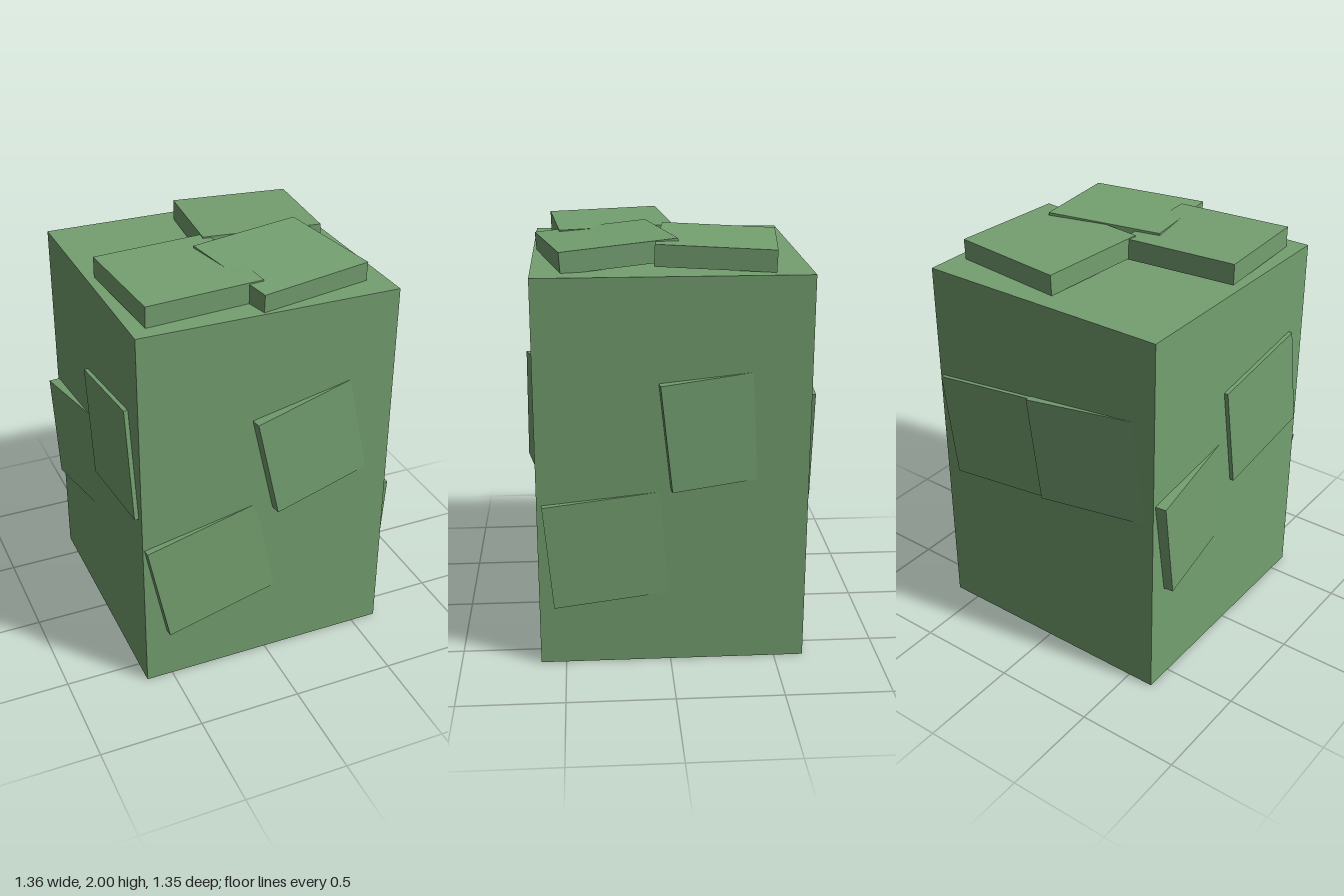
import * as THREE from 'three';

const green = new THREE.MeshStandardMaterial({ color: 0x74a070 });
green.name = 'leafGreen';

// Tilted slab set by three corners of its outer face, seen from outside:
// top left, top right and bottom left
function slab(name, topLeft, topRight, bottomLeft, thickness = 0.1) {
  const a = new THREE.Vector3(...topLeft);
  const right = new THREE.Vector3(...topRight).sub(a);
  const up = a.clone().sub(new THREE.Vector3(...bottomLeft));
  const out = right.clone().cross(up).normalize();
  const centre = a.clone().addScaledVector(right, 0.5).addScaledVector(up, -0.5)
    .addScaledVector(out, -thickness / 2);
  const geometry = new THREE.BoxGeometry(1, 1, 1);
  geometry.applyMatrix4(new THREE.Matrix4()
    .makeBasis(right, up, out.multiplyScalar(thickness)).setPosition(centre));
  const mesh = new THREE.Mesh(geometry, green);
  mesh.name = name;
  return mesh;
}

export function createModel() {
  const group = new THREE.Group();
  group.name = 'hedgeBlock';

  // Main block
  const body = new THREE.Mesh(new THREE.BoxGeometry(1.26, 1.87, 1.26), green);
  body.name = 'body';
  body.position.set(0, 0.935, -0.01);
  group.add(body);

  const leaves = [
    // Top
    ['topBackLeaf', [0.0, 1.97, -0.545], [0.575, 1.97, -0.475], [-0.065, 1.99, -0.005]],
    ['topRightLeaf', [-0.6, 1.985, 0.0], [-0.03, 1.985, -0.053], [-0.555, 1.97, 0.545]],
    ['topFrontLeaf', [-0.145, 1.992, 0.075], [0.42, 2.0, -0.045], [-0.033, 1.955, 0.61]],
    // Front
    ['frontUpperLeaf', [-0.08, 1.35, 0.672], [0.48, 1.47, 0.612], [0.03, 0.85, 0.672]],
    ['frontLowerLeaf', [-0.62, 0.78, 0.655], [-0.06, 0.89, 0.619], [-0.52, 0.275, 0.66]],
    // Left side (+x)
    ['leftUpperLeaf', [0.678, 1.385, 0.05], [0.613, 1.445, -0.52], [0.675, 0.875, -0.005]],
    ['leftLowerLeaf', [0.663, 0.81, 0.595], [0.628, 0.867, 0.02], [0.663, 0.3, 0.55]],
    // Back
    ['backRightLeaf', [0.06, 1.385, -0.677], [-0.51, 1.455, -0.64], [-0.01, 0.87, -0.677]],
    ['backLeftLeaf', [0.61, 1.315, -0.66], [0.04, 1.385, -0.66], [0.54, 0.8, -0.66]],
    // Right side (-x)
    ['rightUpperLeaf', [-0.65, 1.38, -0.085], [-0.65, 1.46, 0.49], [-0.65, 0.855, 0.005]],
    ['rightLowerLeaf', [-0.684, 1.05, -0.62], [-0.624, 1.12, -0.05], [-0.677, 0.54, -0.54]],
  ];
  for (const leaf of leaves) group.add(slab(...leaf));

  return group;
}
